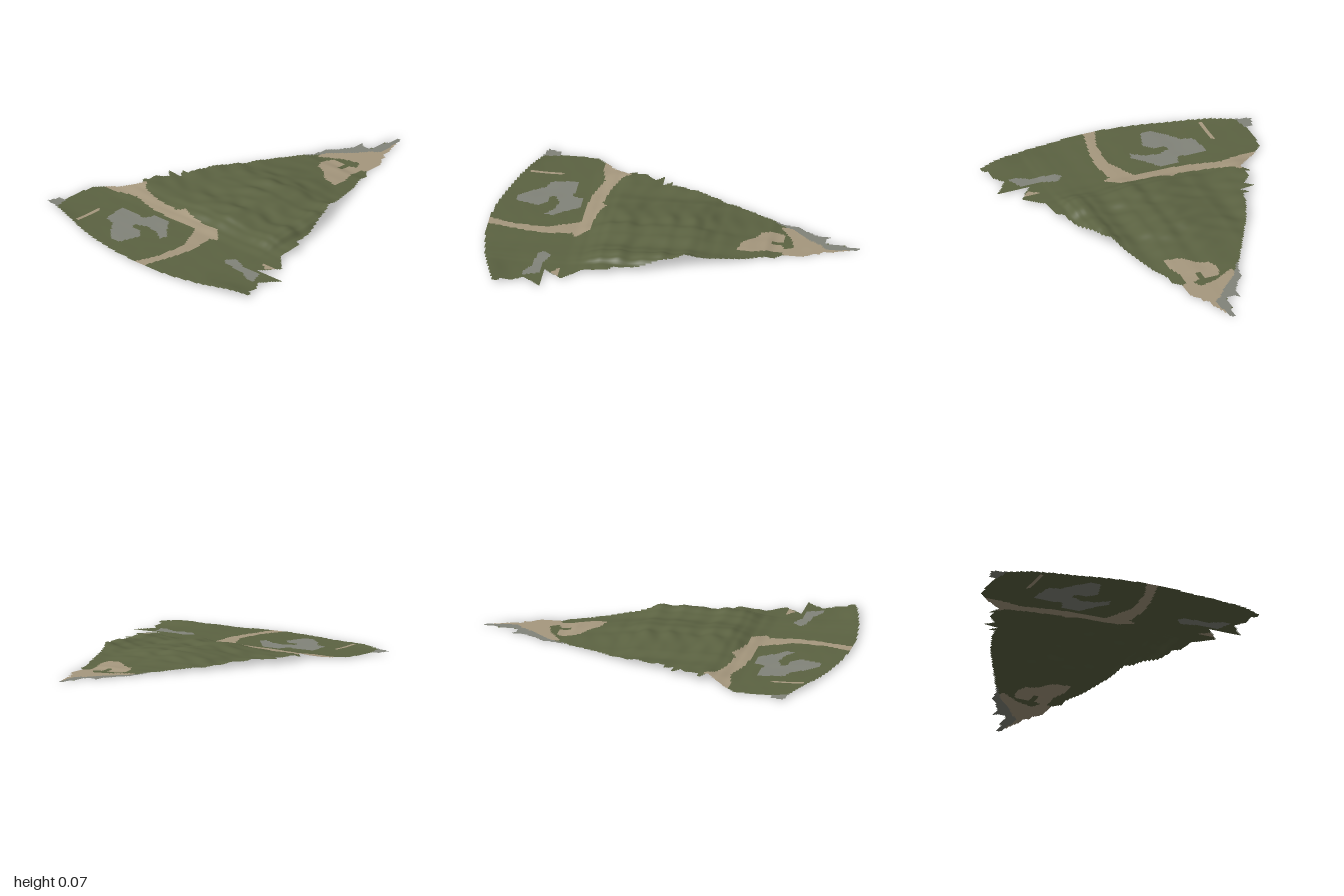
import * as THREE from 'three';

// Plan outlines are flat lists of x, z pairs; this many plan units make one world unit.
const PLAN = 189;
const CELL = 0.01;

const outline = [
  23, -189, 26, -177, 31, -165, 33, -153, 38, -150, 38, -145, 46, -135, 46, -113, 53, -107, 54, -95,
  61, -80, 68, -60, 76, -35, 86, -10, 94, 13, 100, 30, 103, 50, 110, 53, 110, 80, 128, 98, 111, 117,
  147, 117, 129, 136, 138, 146, 138, 159, 143, 160, 143, 166, 116, 174, 86, 181, 51, 186, 16, 188,
  -24, 184, -54, 178, -84, 170, -114, 159, -129, 153, -147, 149, -143, 145, -142, 137, -134, 137,
  -133, 98, -96, 63, -104, 52, -96, 52, -96, 42, -87, 33, -96, 24, -79, 24, -86, 15, -77, 15,
  -76, 3, -64, -25, -49, -53, -34, -80, -19, -107, -17, -121, -9, -130, 0, -145, 0, -157, 6, -153,
  14, -153, 15, -173, 19, -177, 19, -189,
];

const rockPatches = [
  // strip along the narrow end
  [-26, -98, -17, -126, 0, -160, 14, -153, 18, -190, 25, -190, 26, -155, 18, -149, 6, -133, -10, -117, -22, -97],
  // large outcrop
  [-79, 109, -49, 111, -44, 100, -24, 101, -14, 115, -4, 125, -6, 134, -19, 125, -34, 123, -46, 128,
    -46, 133, -34, 134, -24, 143, -31, 165, -42, 167, -54, 155, -64, 141, -76, 137, -79, 120],
  // outcrops near the two front corners
  [73, 122, 81, 115, 98, 121, 118, 120, 125, 137, 116, 138, 103, 130, 78, 129],
  [-149, 149, -144, 136, -133, 136, -129, 154, -140, 154],
];

const sandPatches = [
  // narrow end
  [-14, -107, -11, -117, 6, -133, 18, -150, 26, -185, 38, -153, 46, -135, 47, -115, 34, -113, 28, -123, 11, -119, -12, -105],
  // horseshoe clearing
  [1, -107, 6, -112, 18, -112, 20, -99, 25, -101, 25, -111, 34, -115, 40, -112, 39, -101, 42, -92,
    46, -80, 46, -68, 29, -71, 16, -83, 4, -88, 0, -97],
  // track across the plain
  [-124, 88, -94, 58, -87, 68, -64, 75, -34, 79, -27, 73, -16, 79, 6, 83, 26, 84, 39, 96, 31, 101,
    34, 125, 32, 147, 21, 190, 8, 190, 19, 160, 21, 127, 13, 110, 6, 95, -24, 95, -54, 92, -84, 84, -104, 88],
  // small bare spots
  [-96, 127, -92, 130, -92, 160, -96, 160],
  [104, 102, 124, 103, 116, 110],
];

// Skyline heights across x and along z, as pairs of position and height
const acrossX = [-0.8, 0.01, -0.6, 0.016, -0.5, 0.03, -0.4, 0.028, -0.3, 0.02, -0.2, 0.036, 0, 0.058,
  0.06, 0.053, 0.12, 0.064, 0.2, 0.055, 0.3, 0.037, 0.37, 0.05, 0.43, 0.066, 0.48, 0.052, 0.52, 0.025, 0.8, 0.02];
const alongZ = [-1, 0, -0.56, 0.003, -0.5, 0.013, -0.4, 0.018, -0.25, 0.034, -0.17, 0.05, -0.1, 0.066,
  -0.03, 0.055, 0.02, 0.064, 0.1, 0.055, 0.18, 0.05, 0.25, 0.062, 0.33, 0.055, 0.38, 0.042, 0.45, 0.016,
  0.52, 0.006, 1, 0.008];

function profile(points, t) {
  for (let i = 2; i < points.length; i += 2) {
    if (t <= points[i]) {
      const s = THREE.MathUtils.smoothstep(t, points[i - 2], points[i]);
      return THREE.MathUtils.lerp(points[i - 1], points[i + 1], s);
    }
  }
  return points[points.length - 1];
}

function height(x, z) {
  const hill = profile(alongZ, z);
  const relief = hill * Math.min(1, profile(acrossX, x) / 0.064);
  // low folds on the hills, and gentle rises at the front corners
  const folds = hill * 0.035 * (Math.sin(52 * z + 9 * x + 2 * Math.sin(11 * x)) + Math.sin(31 * x - 23 * z + 2 * Math.sin(17 * z)));
  const corner = 0.02 * Math.exp(-((Math.abs(x) - 0.66) ** 2) / 0.03 - ((z - 0.92) ** 2) / 0.008);
  const base = 0.005 * THREE.MathUtils.smoothstep(z, -0.9, 0.4);
  return Math.max(0, base + relief * 0.93 + folds + corner);
}

function inside(poly, px, pz) {
  let hit = false;
  for (let i = 0, j = poly.length - 2; i < poly.length; j = i, i += 2) {
    const [xi, zi, xj, zj] = [poly[i], poly[i + 1], poly[j], poly[j + 1]];
    if ((zi > pz) !== (zj > pz) && px < ((xj - xi) * (pz - zi)) / (zj - zi) + xi) hit = !hit;
  }
  return hit;
}

// Grid sheet gathering the cells of one ground type
class Sheet {
  constructor() {
    this.positions = [];
    this.normals = [];
    this.index = [];
    this.lookup = new Map();
  }

  vertex(i, k) {
    const key = i * 1000 + k;
    if (!this.lookup.has(key)) {
      const x = i * CELL, z = k * CELL, e = CELL;
      const n = new THREE.Vector3(height(x - e, z) - height(x + e, z), 2 * e, height(x, z - e) - height(x, z + e)).normalize();
      this.lookup.set(key, this.positions.length / 3);
      this.positions.push(x, height(x, z), z);
      this.normals.push(n.x, n.y, n.z);
    }
    return this.lookup.get(key);
  }

  addCell(i, k) {
    const a = this.vertex(i, k), b = this.vertex(i, k + 1);
    const c = this.vertex(i + 1, k + 1), d = this.vertex(i + 1, k);
    this.index.push(a, b, c, a, c, d);
  }

  mesh(name, material) {
    const g = new THREE.BufferGeometry();
    g.setAttribute('position', new THREE.Float32BufferAttribute(this.positions, 3));
    g.setAttribute('normal', new THREE.Float32BufferAttribute(this.normals, 3));
    g.setIndex(this.index);
    const m = new THREE.Mesh(g, material);
    m.name = name;
    return m;
  }
}

function groundMaterial(name, color) {
  const m = new THREE.MeshStandardMaterial({ color, side: THREE.DoubleSide });
  m.name = name;
  return m;
}

export function createModel() {
  const grass = new Sheet(), sand = new Sheet(), rock = new Sheet();
  for (let i = -79; i < 79; i++) {
    for (let k = -100; k < 100; k++) {
      const px = (i + 0.5) * CELL * PLAN, pz = (k + 0.5) * CELL * PLAN;
      if (!inside(outline, px, pz)) continue;
      const covers = (poly) => inside(poly, px, pz);
      const sheet = rockPatches.some(covers) ? rock : sandPatches.some(covers) ? sand : grass;
      sheet.addCell(i, k);
    }
  }

  const group = new THREE.Group();
  group.name = 'terrain';
  group.add(
    grass.mesh('grassland', groundMaterial('grass green', 0x5c6342)),
    sand.mesh('sandyGround', groundMaterial('sand', 0xa6987e)),
    rock.mesh('rockyGround', groundMaterial('rock grey', 0x82847a)),
  );
  return group;
}
